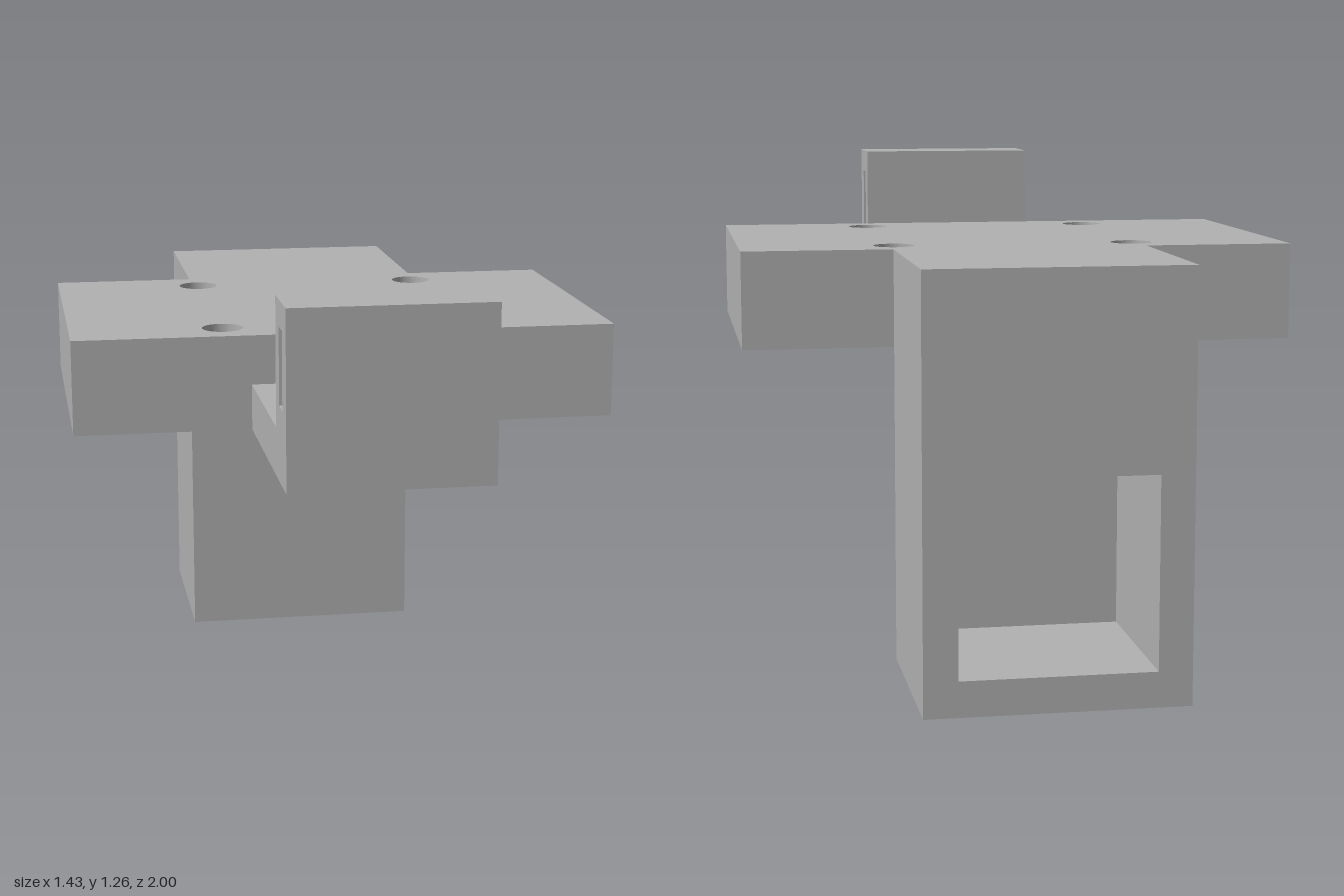
import * as THREE from 'three';

const grey = new THREE.MeshStandardMaterial({ color: 0xb2b2b2 });
grey.name = 'plain grey';

const polygon = (Kind, points) => new Kind(points.map(([x, y]) => new THREE.Vector2(x, y)));
const rect = (x0, y0, x1, y1) => [[x0, y0], [x1, y0], [x1, y1], [x0, y1]];
const rectHole = (x0, y0, x1, y1) => polygon(THREE.Path, rect(x0, y0, x1, y1).reverse());

function part(name, geometry) {
  const mesh = new THREE.Mesh(geometry, grey);
  mesh.name = name;
  return mesh;
}

function extrude(shape, depth) {
  return new THREE.ExtrudeGeometry(shape, { depth, bevelEnabled: false, curveSegments: 24 });
}

export function createModel() {
  const model = new THREE.Group();
  model.name = 'mountingBracket';

  // Plate with four screw holes, drawn in plan (shape y = -z) and extruded upward
  const plan = polygon(THREE.Shape, rect(-0.717, -0.37, 0.717, 0.482));
  for (const x of [-0.315, 0.315]) {
    for (const z of [-0.371, 0.259]) {
      const hole = new THREE.Path();
      hole.absarc(x, -z, 0.054, 0, Math.PI * 2, true);
      plan.holes.push(hole);
    }
  }
  const plate = extrude(plan, 0.25);
  plate.rotateX(-Math.PI / 2).translate(0, 0.825, 0);
  model.add(part('plate', plate));

  // Rear leg: a square pocket opens to the back, closed by a thin front wall
  const leg = new THREE.Group();
  leg.name = 'rearLeg';
  const face = polygon(THREE.Shape, rect(-0.33, 0, 0.33, 1.075));
  face.holes.push(rectHole(-0.245, 0.09, 0.245, 0.575));
  leg.add(part('pocketBody', extrude(face, 0.46).translate(0, 0, -1)));
  const wall = new THREE.BoxGeometry(0.66, 1.075, 0.058);
  leg.add(part('pocketFrontWall', wall.translate(0, 0.5375, -0.511)));
  model.add(leg);

  // Front arm: L-shaped side profile (shape x = z) with a slot through the upright
  const profile = polygon(THREE.Shape, [
    [0.37, 0.825], [1, 0.825], [1, 1.265], [0.828, 1.265], [0.828, 0.945], [0.37, 0.945],
  ]);
  profile.holes.push(rectHole(0.883, 1.01, 0.938, 1.2));
  const arm = extrude(profile, 0.504);
  arm.rotateY(-Math.PI / 2).translate(0.252, 0, 0);
  model.add(part('slottedFrontArm', arm));

  return model;
}
